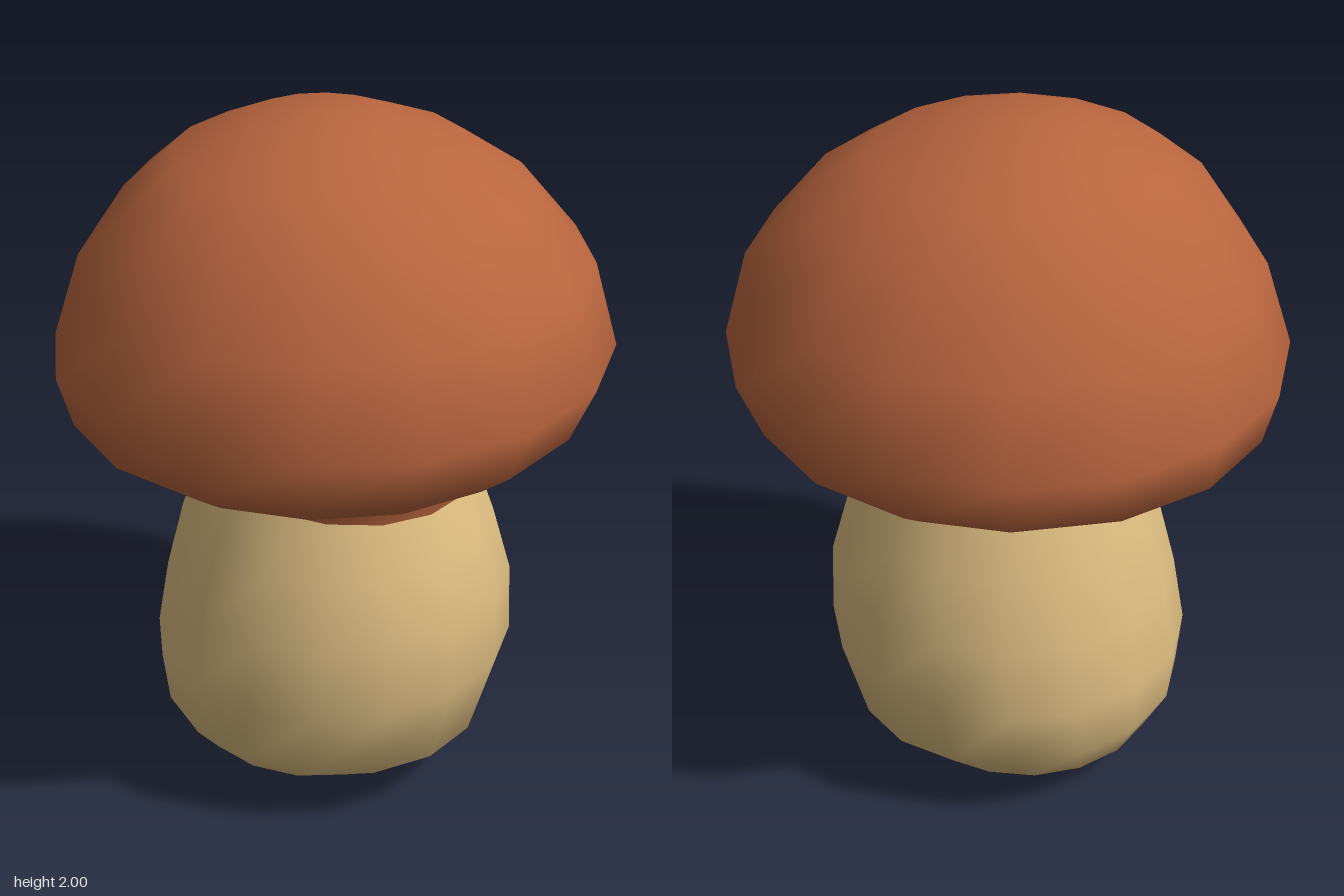
import * as THREE from 'three';

const SIDES = 16;

// Closed skin through tilted rings [radius, height, centre x, slope along x].
// A radius of 0 becomes a single pole point.
function ringSkin(rings) {
  const pos = [], index = [], starts = [];
  for (const [r, y, cx, slope] of rings) {
    starts.push(pos.length / 3);
    const count = r === 0 ? 1 : SIDES;
    for (let j = 0; j < count; j++) {
      const a = (j / SIDES) * Math.PI * 2;
      const dx = r * Math.cos(a);
      pos.push(cx + dx, y + slope * dx, r * Math.sin(a));
    }
  }
  const at = (i, j) => starts[i] + (rings[i][0] === 0 ? 0 : j % SIDES);
  for (let i = 0; i < rings.length - 1; i++) {
    for (let j = 0; j < SIDES; j++) {
      const a = at(i, j), b = at(i, j + 1), c = at(i + 1, j), d = at(i + 1, j + 1);
      if (a !== b) index.push(a, c, b);
      if (c !== d) index.push(b, c, d);
    }
  }
  const geo = new THREE.BufferGeometry();
  geo.setAttribute('position', new THREE.Float32BufferAttribute(pos, 3));
  geo.setIndex(index);
  geo.computeVertexNormals();
  return geo;
}

export function createModel() {
  const group = new THREE.Group();
  group.name = 'mushroom';

  const capBrown = new THREE.MeshStandardMaterial({ color: 0xb9653e });
  capBrown.name = 'cap brown';
  const stemCream = new THREE.MeshStandardMaterial({ color: 0xdcbc80 });
  stemCream.name = 'stem cream';

  // Bulbous stem, leaning slightly, from base pole up into the cap
  const stem = new THREE.Mesh(ringSkin([
    [0, 0, -0.12, 0],
    [0.21, 0.03, -0.12, -0.035],
    [0.345, 0.088, -0.085, -0.065],
    [0.475, 0.212, -0.03, -0.07],
    [0.52, 0.415, 0, 0.03],
    [0.5, 0.62, 0.015, 0.04],
    [0.447, 0.82, 0.015, 0.02],
    [0.355, 1.04, 0.015, 0],
    [0.3, 1.15, 0.015, 0],
  ]), stemCream);
  stem.name = 'stem';

  // Domed cap with a tilted collar that wraps the top of the stem
  const cap = new THREE.Mesh(ringSkin([
    [0.33, 1.0, 0.015, -0.1],
    [0.392, 0.995, 0.018, -0.1],
    [0.36, 1.075, 0.015, 0],
    [0.46, 1.057, 0, 0],
    [0.62, 1.115, -0.01, 0.01],
    [0.725, 1.19, -0.015, 0.014],
    [0.78, 1.345, 0, 0.019],
    [0.708, 1.587, 0.005, 0.021],
    [0.557, 1.787, -0.015, 0.025],
    [0.405, 1.9, -0.035, 0.025],
    [0.2, 1.983, -0.04, 0.012],
    [0, 2.0, -0.04, 0],
  ]), capBrown);
  cap.name = 'cap';

  group.add(stem, cap);
  return group;
}
